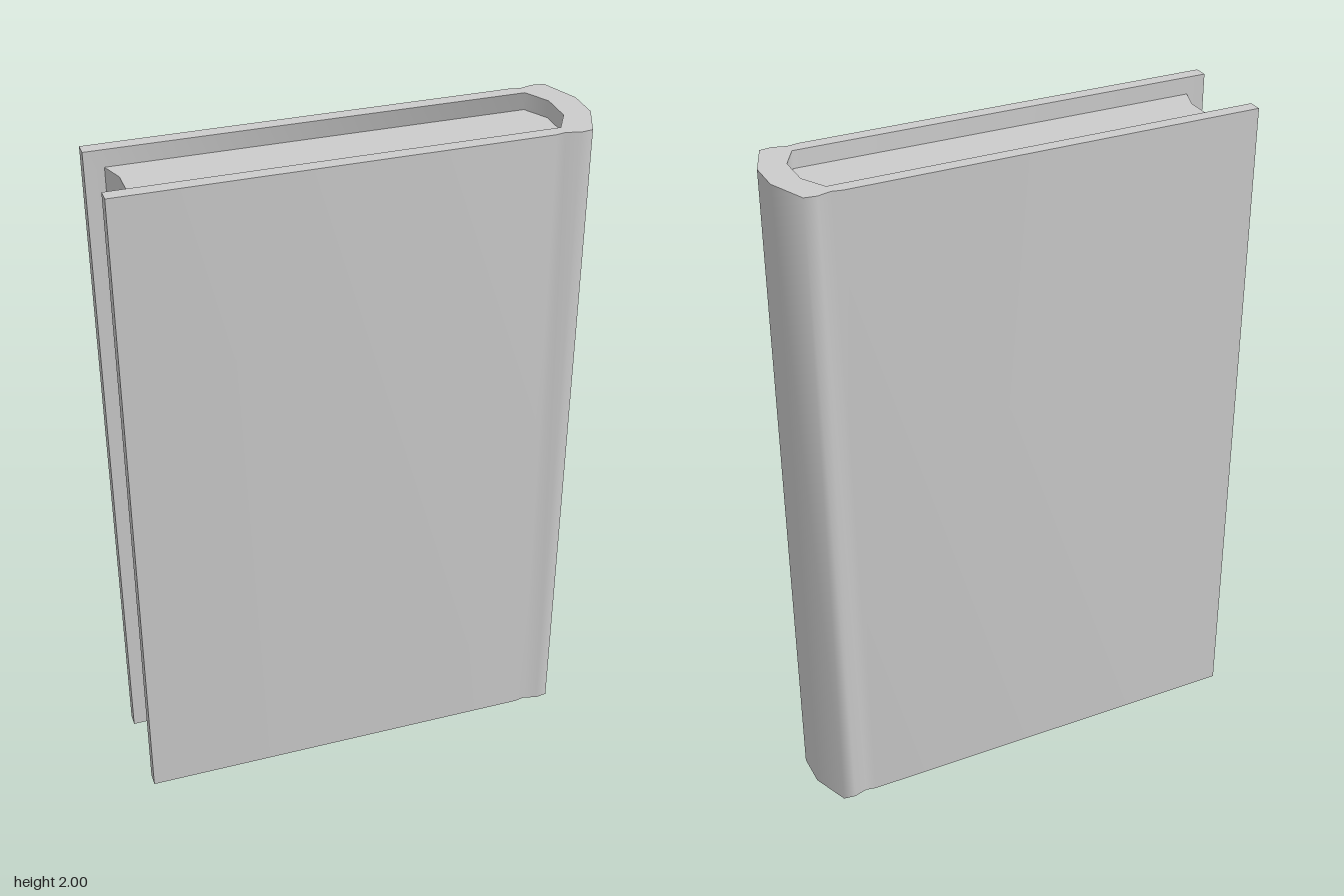
import * as THREE from 'three';
import { toCreasedNormals } from 'three/addons/utils/BufferGeometryUtils.js';

// Mirrors a half outline (x, z) across the middle of the book's thickness
const mirrored = (half) => [...half, ...half.map(([x, z]) => [x, -z]).reverse()];

// Extrudes a closed plan outline upwards from y0 to y1
function upright(name, outline, y0, y1, material) {
  const shape = new THREE.Shape(outline.map(([x, z]) => new THREE.Vector2(x, z)));
  const extruded = new THREE.ExtrudeGeometry(shape, { depth: y1 - y0, bevelEnabled: false });
  extruded.rotateX(-Math.PI / 2).translate(0, y0, 0);
  const mesh = new THREE.Mesh(toCreasedNormals(extruded, 1.2), material);
  mesh.name = name;
  return mesh;
}

export function createModel() {
  const book = new THREE.Group();
  book.name = 'book';
  const material = new THREE.MeshStandardMaterial({ color: 0xcccccc });

  const HEIGHT = 2;
  const RECESS = 0.05; // pages sit back from the cover at head and foot
  const INNER = 0.122; // half thickness of the page block
  const OUTER = 0.162; // half thickness over the boards

  // Inner curve of the spine, shared by cover and pages
  const innerSpine = [[0.56, INNER], [0.6, 0.05]];

  // Cover: both boards, the hinge grooves and the rounded spine in one section
  const cover = mirrored([
    ...[...innerSpine].reverse(),
    [-0.68, INNER],
    [-0.68, OUTER],
    [0.53, OUTER],
    [0.56, 0.156],
    [0.6, 0.167],
    [0.635, 0.162],
    [0.68, 0.05],
  ]);
  // Pages: hollow fore edge on one side, rounded back on the other
  const pages = mirrored([[-0.6, 0.053], [-0.625, INNER], ...innerSpine]);

  book.add(upright('cover', cover, 0, HEIGHT, material));
  book.add(upright('pages', pages, RECESS, HEIGHT - RECESS, material));
  return book;
}
